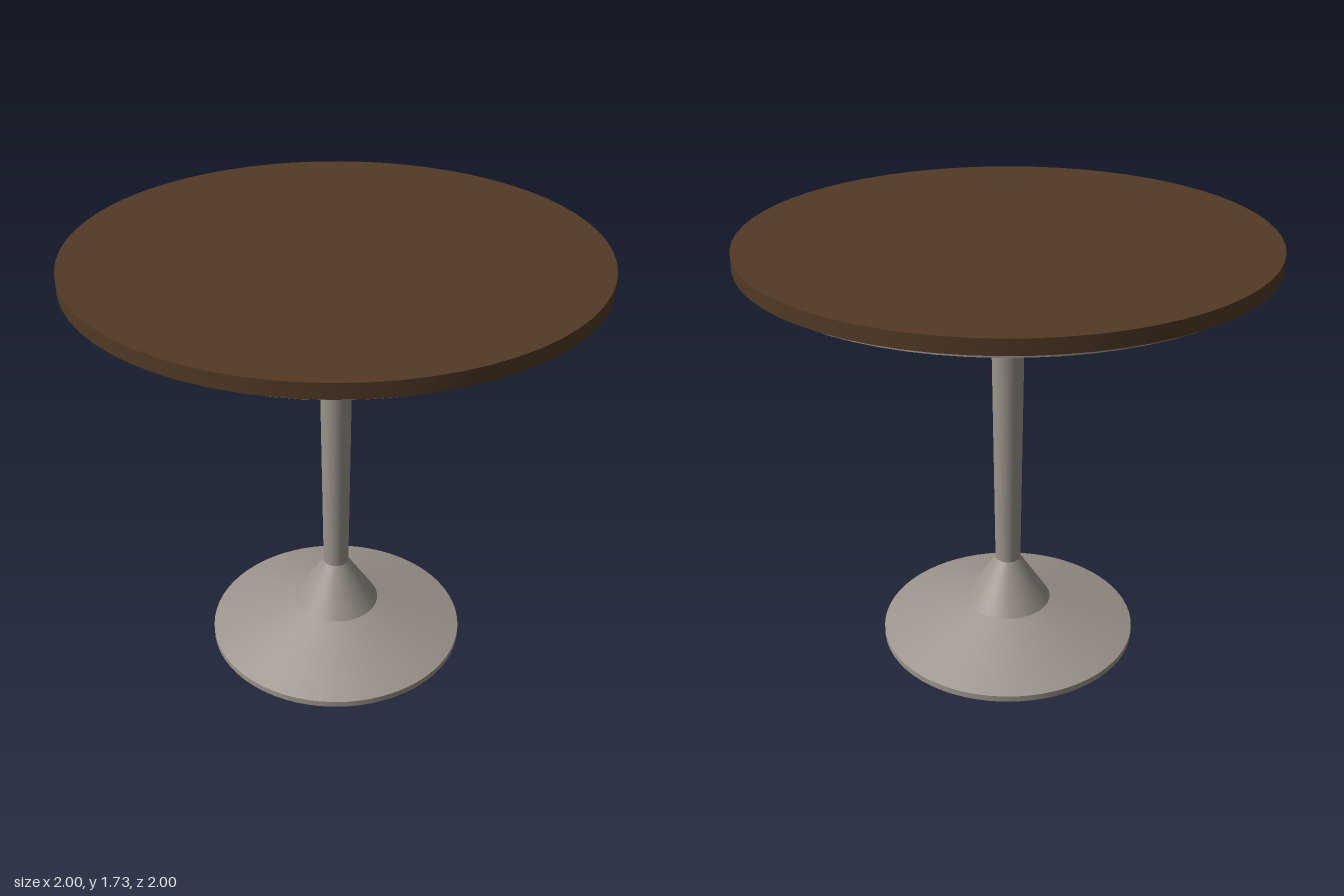
import * as THREE from 'three';

const SEGMENTS = 64;
const wood = new THREE.MeshStandardMaterial({ color: 0x523a26 });
const metal = new THREE.MeshStandardMaterial({ color: 0x9c948c });

// Round, capped part between two heights, tapering from bottom to top radius.
function roundPart(name, material, rBottom, rTop, yBottom, yTop) {
  const geometry = new THREE.CylinderGeometry(rTop, rBottom, yTop - yBottom, SEGMENTS);
  const mesh = new THREE.Mesh(geometry, material);
  mesh.name = name;
  mesh.position.y = (yBottom + yTop) / 2;
  return mesh;
}

export function createModel() {
  const table = new THREE.Group();
  table.name = 'pedestalTable';

  // Foot: thin rim, shallow cone, then a steeper collar up to the column
  const foot = new THREE.Group();
  foot.name = 'foot';
  foot.add(
    roundPart('footRim', metal, 0.527, 0.527, 0, 0.025),
    roundPart('footCone', metal, 0.527, 0.177, 0.025, 0.147),
    roundPart('footCollar', metal, 0.177, 0.052, 0.147, 0.342),
  );

  // Column widens slightly towards the top
  const column = roundPart('column', metal, 0.052, 0.066, 0.342, 1.535);

  // Flared mount, with a narrow gap below the top
  const mount = new THREE.Group();
  mount.name = 'mount';
  mount.add(
    roundPart('mountFlare', metal, 0.066, 0.16, 1.535, 1.588),
    roundPart('mountDisc', metal, 0.16, 0.16, 1.588, 1.627),
  );

  // Wooden top on a slightly smaller metal plate
  const top = new THREE.Group();
  top.name = 'top';
  top.add(
    roundPart('underPlate', metal, 0.966, 0.966, 1.651, 1.671),
    roundPart('tabletop', wood, 1, 1, 1.671, 1.727),
  );

  table.add(foot, column, mount, top);
  return table;
}
